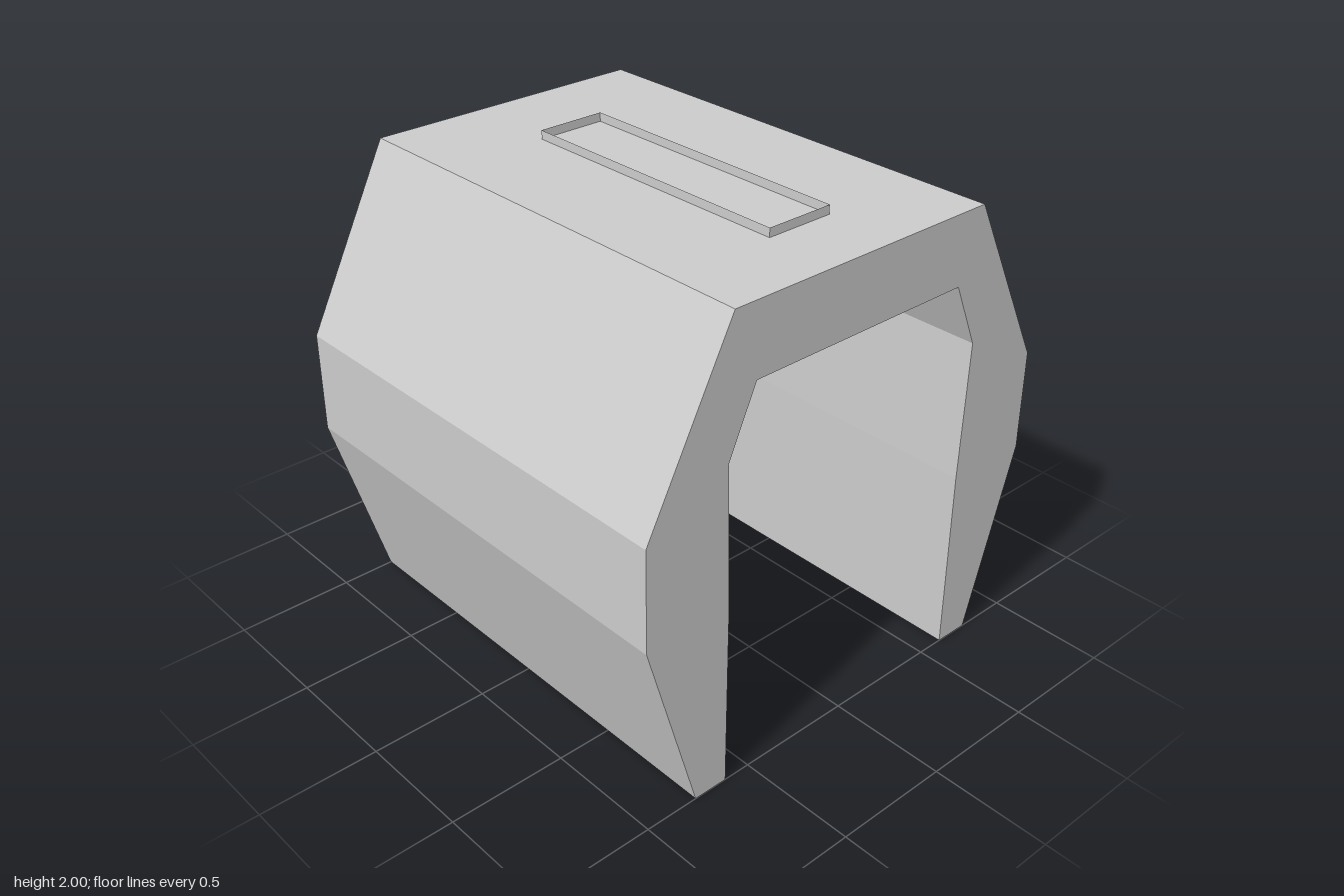
import * as THREE from 'three';

const material = new THREE.MeshStandardMaterial({ color: 0xcccccc, flatShading: true });
const openMaterial = new THREE.MeshStandardMaterial({ color: 0xcccccc, flatShading: true, side: THREE.DoubleSide });

export function createModel() {
  const group = new THREE.Group();

  // Arched shell: half of the section from outer roof edge to inner roof edge, mirrored
  const half = [
    [0.62, 1.963], [1, 1.222], [1, 0.793], [0.767, 0],
    [0.617, 0], [0.617, 0.8], [0.634, 1.395], [0.513, 1.668],
  ];
  const mirrored = half.map(([x, y]) => [-x, y]).reverse();
  const outline = [...half, ...mirrored].map(([x, y]) => new THREE.Vector2(x, y));
  const shellGeometry = new THREE.ExtrudeGeometry(new THREE.Shape(outline), {
    depth: 2, bevelEnabled: false,
  });
  shellGeometry.translate(0, 0, -1);
  const shell = new THREE.Mesh(shellGeometry, material);
  shell.name = 'archedShell';
  group.add(shell);

  // Roof rim: four thin upright walls, open at the top
  const rim = new THREE.Group();
  rim.name = 'roofRim';
  const [x0, x1, z0, z1] = [-0.157, 0.141, -0.566, 0.69];
  const height = 2 - 1.963;
  const addWall = (name, length, x, z, turn) => {
    const wall = new THREE.Mesh(new THREE.PlaneGeometry(length, height), openMaterial);
    wall.name = name;
    wall.position.set(x, 1.963 + height / 2, z);
    wall.rotation.y = turn;
    rim.add(wall);
  };
  const midX = (x0 + x1) / 2;
  const midZ = (z0 + z1) / 2;
  addWall('rimFront', x1 - x0, midX, z1, 0);
  addWall('rimBack', x1 - x0, midX, z0, Math.PI);
  addWall('rimLeft', z1 - z0, x1, midZ, Math.PI / 2);
  addWall('rimRight', z1 - z0, x0, midZ, -Math.PI / 2);
  group.add(rim);

  return group;
}
